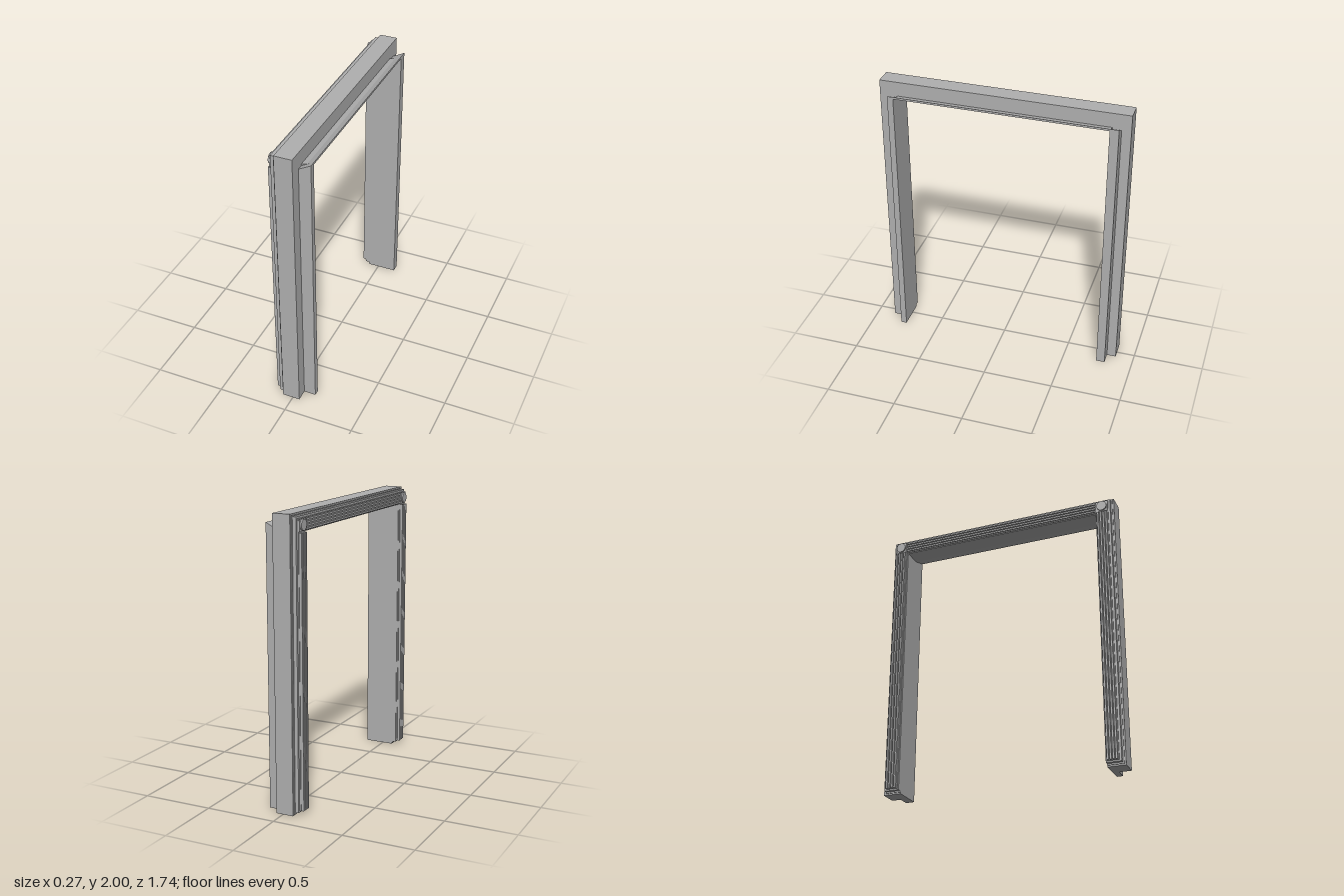
import * as THREE from 'three';

export function createModel() {
  const group = new THREE.Group();
  const paint = new THREE.MeshStandardMaterial({ color: 0xb0b0b0 });
  paint.name = 'greyPaint';

  const add = (name, geometry) => {
    const mesh = new THREE.Mesh(geometry, paint);
    mesh.name = name;
    group.add(mesh);
    return mesh;
  };
  const box = (name, x0, x1, y0, y1, z0, z1) =>
    add(name, new THREE.BoxGeometry(x1 - x0, y1 - y0, z1 - z0))
      .position.set((x0 + x1) / 2, (y0 + y1) / 2, (z0 + z1) / 2);

  // Upside-down U in the z-y plane, running from xFront towards -x
  const arch = (name, outer, inner, bottom, top, lintel, xFront, depth) => {
    const pts = [[-outer, bottom], [-inner, bottom], [-inner, lintel], [inner, lintel],
      [inner, bottom], [outer, bottom], [outer, top], [-outer, top]];
    const shape = new THREE.Shape(pts.map(p => new THREE.Vector2(...p)));
    const g = new THREE.ExtrudeGeometry(shape, { depth, bevelEnabled: false });
    g.rotateY(-Math.PI / 2);
    add(name, g).position.x = xFront;
  };

  // Profile in the x-y plane, extruded along z
  const alongZ = (name, pts, z0, z1) => {
    const shape = new THREE.Shape(pts.map(p => new THREE.Vector2(...p)));
    const g = new THREE.ExtrudeGeometry(shape, { depth: z1 - z0, bevelEnabled: false });
    add(name, g).position.z = z0;
  };

  // Main frame and stepped casing on the -x side
  arch('frame', 0.87, 0.743, 0, 2, 1.9, 0.05, 0.125);
  arch('casingStep', 0.86, 0.743, 0.01, 1.99, 1.88, -0.075, 0.007);
  arch('casing', 0.85, 0.743, 0.02, 1.983, 1.88, -0.082, 0.025);
  arch('casingFace', 0.835, 0.75, 0.03, 1.97, 1.885, -0.107, 0.009);

  // Door stops with sloped tops
  const stop = [[0.05, 0], [0.135, 0], [0.135, 1.93], [0.05, 1.885]];
  alongZ('leftStop', stop, 0.743, 0.785);
  alongZ('rightStop', stop, -0.805, -0.743);

  // Head lining with sloped lip
  alongZ('headStop', [[-0.075, 1.88], [0.03, 1.88], [0.135, 1.915], [0.135, 1.93],
    [0.09, 1.907], [0.05, 1.897], [0.05, 1.91], [-0.075, 1.91]], -0.743, 0.743);

  // Reeded mouldings on jambs, plain reeds across the head, corner blocks
  for (const s of [1, -1]) {
    for (let i = 0; i < 4; i++) {
      const z = s * (0.764 + i * 0.02);
      box('jambReed', -0.135, -0.116, 0.03, 1.88, z - 0.006, z + 0.006);
    }
    const zc = s * 0.793;
    box('cornerBlock', -0.124, -0.114, 1.888, 1.968, zc - 0.04, zc + 0.04);
    const rosette = add('cornerRosette', new THREE.CylinderGeometry(0.036, 0.036, 0.011, 24));
    rosette.rotation.z = Math.PI / 2;
    rosette.position.set(-0.1295, 1.928, zc);
  }
  for (let i = 0; i < 4; i++) {
    const y = 1.898 + i * 0.02;
    box('headReed', -0.126, -0.115, y - 0.006, y + 0.006, -0.745, 0.745);
  }
  return group;
}
